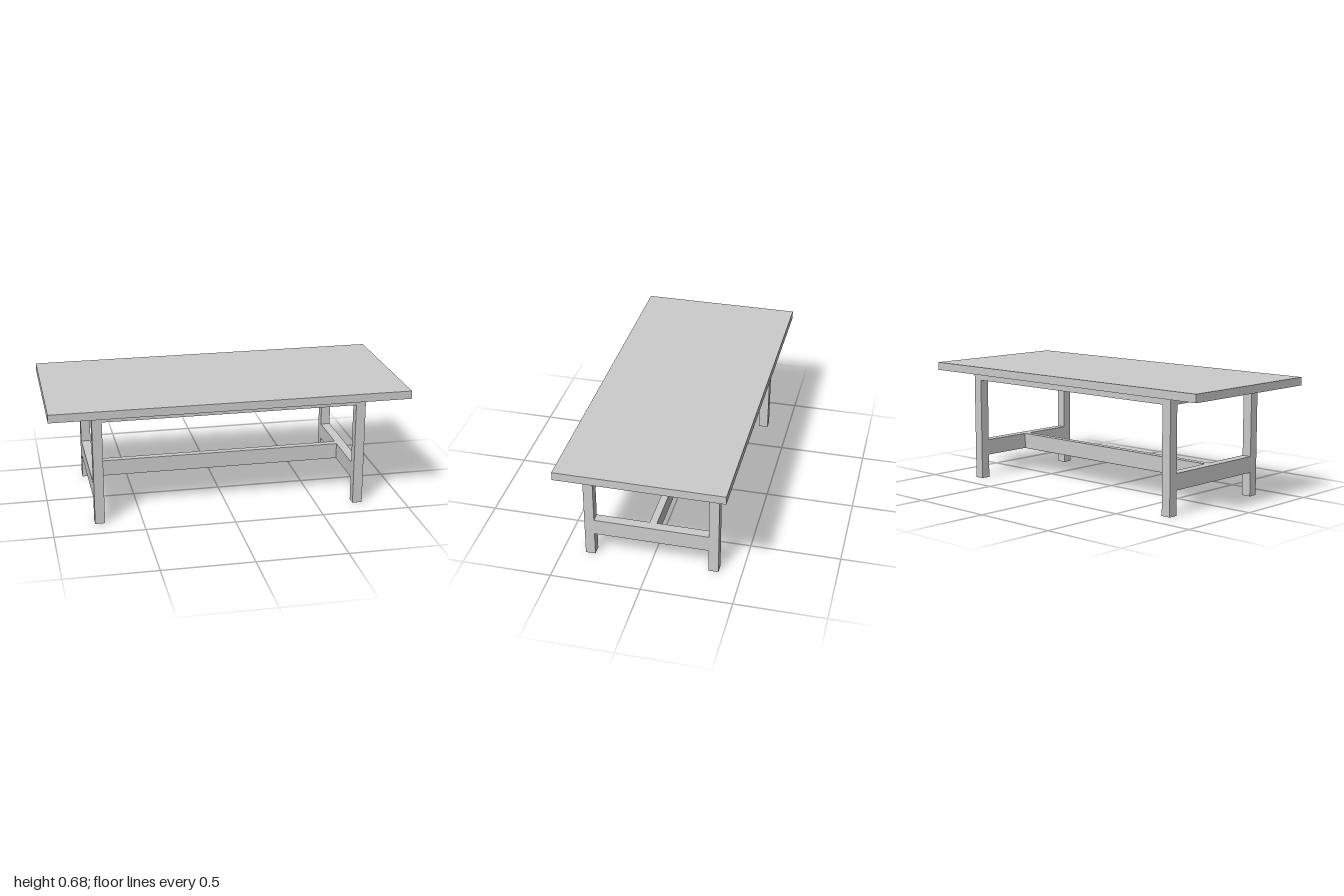
import * as THREE from 'three';

const material = new THREE.MeshStandardMaterial({ color: 0xcccccc, flatShading: true });

function addBox(group, name, size, position) {
  const mesh = new THREE.Mesh(new THREE.BoxGeometry(...size), material);
  mesh.name = name;
  mesh.position.set(...position);
  group.add(mesh);
}

export function createModel() {
  const table = new THREE.Group();
  table.name = 'table';

  const bar = 0.0545;                       // square section of legs
  const height = 0.682, topThick = 0.0455;
  const legHeight = height - topThick;
  const legX = 0.7636 - bar / 2, legZ = 0.3727 - bar / 2;
  const innerX = 2 * legX - bar, innerZ = 2 * legZ - bar;
  const apronHeight = 0.0455, apronY = legHeight - apronHeight / 2;
  const railHeight = 0.091, railY = 0.182;

  addBox(table, 'tabletop', [2, topThick, 0.909], [0, height - topThick / 2, 0]);

  for (const sx of [-1, 1]) {
    const side = sx > 0 ? 'left' : 'right';
    for (const sz of [-1, 1]) {
      const end = sz > 0 ? 'Front' : 'Back';
      addBox(table, `${side}${end}Leg`, [bar, legHeight, bar], [sx * legX, legHeight / 2, sz * legZ]);
    }
    // Cross members joining each pair of legs
    addBox(table, `${side}Apron`, [bar, apronHeight, innerZ], [sx * legX, apronY, 0]);
    addBox(table, `${side}LowerRail`, [bar, railHeight, innerZ], [sx * legX, railY, 0]);
  }

  // Long aprons under the top
  for (const sz of [-1, 1]) {
    addBox(table, sz > 0 ? 'frontApron' : 'backApron', [innerX, apronHeight, bar], [0, apronY, sz * legZ]);
  }

  // Central stretcher between the lower rails
  addBox(table, 'stretcher', [innerX, railHeight, 0.04], [0, railY, 0]);

  return table;
}
